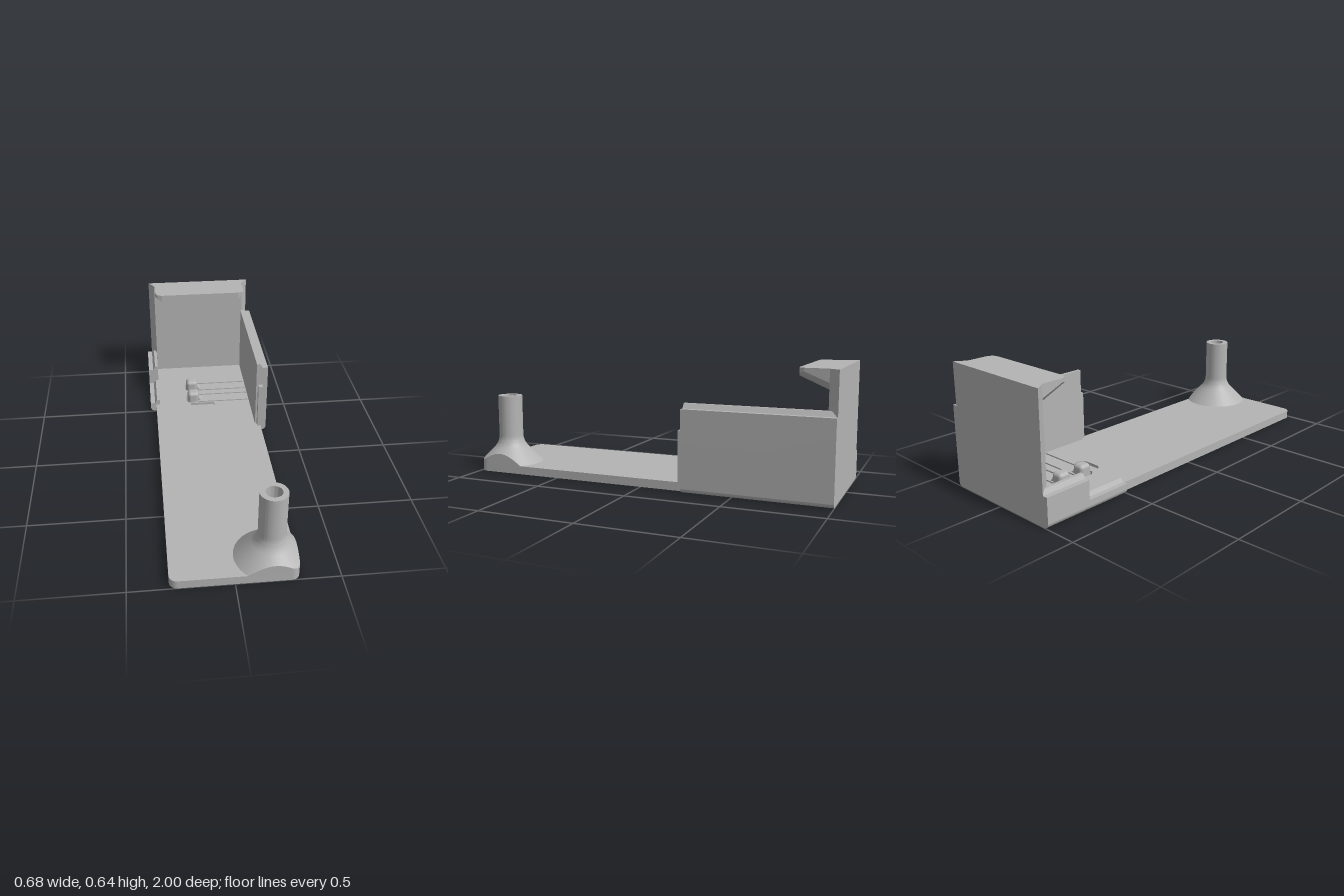
import * as THREE from 'three';
import { toCreasedNormals } from 'three/addons/utils/BufferGeometryUtils.js';
import { RoundedBoxGeometry } from 'three/addons/geometries/RoundedBoxGeometry.js';
import { ConvexGeometry } from 'three/addons/geometries/ConvexGeometry.js';

const POST = { x: 0.185, z: 0.87 };
const HALF = 0.305, CORNER = 0.04;

export function createModel() {
  const group = new THREE.Group();
  const grey = new THREE.MeshStandardMaterial({ color: 0xb4b4b4 });
  grey.name = 'grey plastic';

  const add = (name, geometry) => {
    const mesh = new THREE.Mesh(geometry, grey);
    mesh.name = name;
    group.add(mesh);
    return mesh;
  };
  const box = (name, x0, x1, y0, y1, z0, z1) =>
    add(name, new THREE.BoxGeometry(x1 - x0, y1 - y0, z1 - z0))
      .position.set((x0 + x1) / 2, (y0 + y1) / 2, (z0 + z1) / 2);
  const extrude = (shape, depth) => toCreasedNormals(
    new THREE.ExtrudeGeometry(shape, { depth, bevelEnabled: false, curveSegments: 20 }), 0.5);
  // Plan shapes use (x, -z) and rise from y0 to y1.
  const slab = (name, shape, y0, y1) =>
    add(name, extrude(shape, y1 - y0).rotateX(-Math.PI / 2).translate(0, y0, 0));
  // Wall profiles use (x, y) and run from z0 to z1.
  const rail = (name, shape, z0, z1) => add(name, extrude(shape, z1 - z0).translate(0, 0, z0));
  const polygon = (pts, Type = THREE.Shape) => new Type(pts.map(([x, y]) => new THREE.Vector2(x, y)));

  // Base plate in two layers: U-shaped slots, screw hole and a shallow recess in the upper one
  function plateShape(withRecess) {
    const s = new THREE.Shape();
    s.moveTo(-HALF, 1);
    s.lineTo(-HALF, -1 + CORNER);
    s.absarc(-HALF + CORNER, -1 + CORNER, CORNER, Math.PI, Math.PI * 1.5, false);
    s.absarc(HALF - CORNER, -1 + CORNER, CORNER, Math.PI * 1.5, Math.PI * 2, false);
    s.lineTo(HALF, 1);
    s.closePath();
    const w = 0.01, xl = -0.115, xr = 0.27;
    for (const [a, b] of [[-0.735, -0.645], [-0.6, -0.505]]) {
      s.holes.push(polygon([
        [xr, -a], [xl + 0.02, -a], [xl, -a - 0.02], [xl, -b + 0.02], [xl + 0.02, -b], [xr, -b],
        [xr, -b + w], [xl + 0.024, -b + w], [xl + w, -b + 0.024],
        [xl + w, -a - 0.024], [xl + 0.024, -a - w], [xr, -a - w],
      ], THREE.Path));
    }
    const hole = new THREE.Path();
    hole.absarc(POST.x, -POST.z, 0.085, 0, Math.PI * 2, true);
    s.holes.push(hole);
    if (withRecess) {
      const r = new THREE.Path();
      r.moveTo(-0.09, 0.498);
      r.lineTo(0.055, 0.498);
      r.absarc(0.015, 0.475, 0.04, 0, -Math.PI / 2, true);
      r.absarc(-0.05, 0.475, 0.04, -Math.PI / 2, -Math.PI, true);
      r.closePath();
      s.holes.push(r);
    }
    return s;
  }
  slab('basePlateLower', plateShape(false), 0, 0.03);
  slab('basePlateUpper', plateShape(true), 0.03, 0.045);

  // Flared post, trimmed flush with the plate edges
  const inside = (x, z) =>
    Math.hypot(Math.max(x - HALF + CORNER, 0), Math.max(z - 1 + CORNER, 0)) <= CORNER;
  function flareRadius(c, s) {
    let lo = 0, hi = 0.18;
    if (inside(POST.x + hi * c, POST.z + hi * s)) return hi;
    for (let i = 0; i < 24; i++) {
      const m = (lo + hi) / 2;
      if (inside(POST.x + m * c, POST.z + m * s)) lo = m; else hi = m;
    }
    return lo;
  }
  const curve = new THREE.QuadraticBezierCurve(
    new THREE.Vector2(0.067, 0.2), new THREE.Vector2(0.067, 0.158), new THREE.Vector2(0.1, 0.125));
  const upper = [[0.04, 0.425], [0.067, 0.425], ...curve.getPoints(8).map((p) => [p.x, p.y])];
  const N = 96, pos = [], idx = [], rows = upper.length + 2;
  for (let i = 0; i <= N; i++) {
    const t = (i / N) * Math.PI * 2, c = Math.cos(t), s = Math.sin(t), r = flareRadius(c, s);
    for (const [pr, py] of [...upper, [r, 0.225 - r], [r, 0.04]]) {
      pos.push(POST.x + pr * c, py, POST.z + pr * s);
    }
    if (i === N) break;
    for (let j = 0; j < rows - 1; j++) {
      const a = i * rows + j, b = a + rows;
      idx.push(a, b, a + 1, b, b + 1, a + 1);
    }
  }
  const post = new THREE.BufferGeometry();
  post.setAttribute('position', new THREE.Float32BufferAttribute(pos, 3));
  post.setIndex(idx);
  add('post', toCreasedNormals(post, 0.5));

  // Screw bore with its wider pocket underneath
  const bore = [[0.04, 0.425], [0.04, 0.1], [0.085, 0.1], [0.085, 0.045]]
    .map(([x, y]) => new THREE.Vector2(x, y));
  add('postBore', toCreasedNormals(new THREE.LatheGeometry(bore, 48), 0.5))
    .position.set(POST.x, 0, POST.z);

  // Back wall with chamfered inner sides
  slab('backWall', polygon([[-0.28, 0.95], [0.28, 0.95], [0.313, 1], [-0.313, 1]]), 0, 0.645);

  // Hooked lip along the top of the back wall
  const lip = [];
  for (const side of [-1, 1]) {
    for (const [x, front, frontY, backY] of [[0.237, -0.8, 0.605, 0.54], [0.262, -0.807, 0.62, 0.565], [0.275, -0.83, 0.628, 0.578]]) {
      for (const [z, y] of [[-0.95, 0.645], [front, 0.645], [front, frontY], [-0.95, backY]]) {
        lip.push(new THREE.Vector3(side * x, y, z));
      }
    }
  }
  add('hookLip', new ConvexGeometry(lip));

  // Tall left side wall with rounded lower edge and bevelled top
  const tall = new THREE.Shape();
  tall.moveTo(0.275, 0);
  tall.lineTo(0.318, 0);
  tall.absarc(0.318, 0.022, 0.022, -Math.PI / 2, 0, false);
  for (const [x, y] of [[0.34, 0.425], [0.31, 0.425], [0.293, 0.45], [0.275, 0.45]]) tall.lineTo(x, y);
  rail('leftSideWall', tall, -1, -0.235);
  box('leftWallRib', 0.285, 0.31, 0.03, 0.313, -0.24, -0.21);

  // Low right side wall, stepping down to a short rail
  function lowShape(outerTop, innerTop) {
    const s = new THREE.Shape();
    s.moveTo(-0.282, 0);
    s.lineTo(-0.282, innerTop);
    s.lineTo(-0.3, innerTop);
    s.lineTo(-0.313, outerTop);
    s.lineTo(-0.34, outerTop);
    s.lineTo(-0.34, 0.028);
    s.absarc(-0.312, 0.028, 0.028, Math.PI, Math.PI * 1.5, false);
    s.closePath();
    return s;
  }
  rail('rightSideWall', lowShape(0.155, 0.177), -1, -0.75);
  rail('rightLowRail', lowShape(0.055, 0.075), -0.75, -0.505);

  // Rounded catches on the two spring tongues, each with a small ramp
  for (const z of [-0.69, -0.5525]) {
    add('catch', new RoundedBoxGeometry(0.067, 0.08, 0.068, 4, 0.02)).position.set(-0.0715, 0.06, z);
    rail('catchRamp', polygon([[-0.045, 0.04], [-0.018, 0.045], [-0.032, 0.053], [-0.04, 0.07], [-0.045, 0.07]].reverse()),
      z - 0.026, z + 0.026);
  }
  return group;
}
